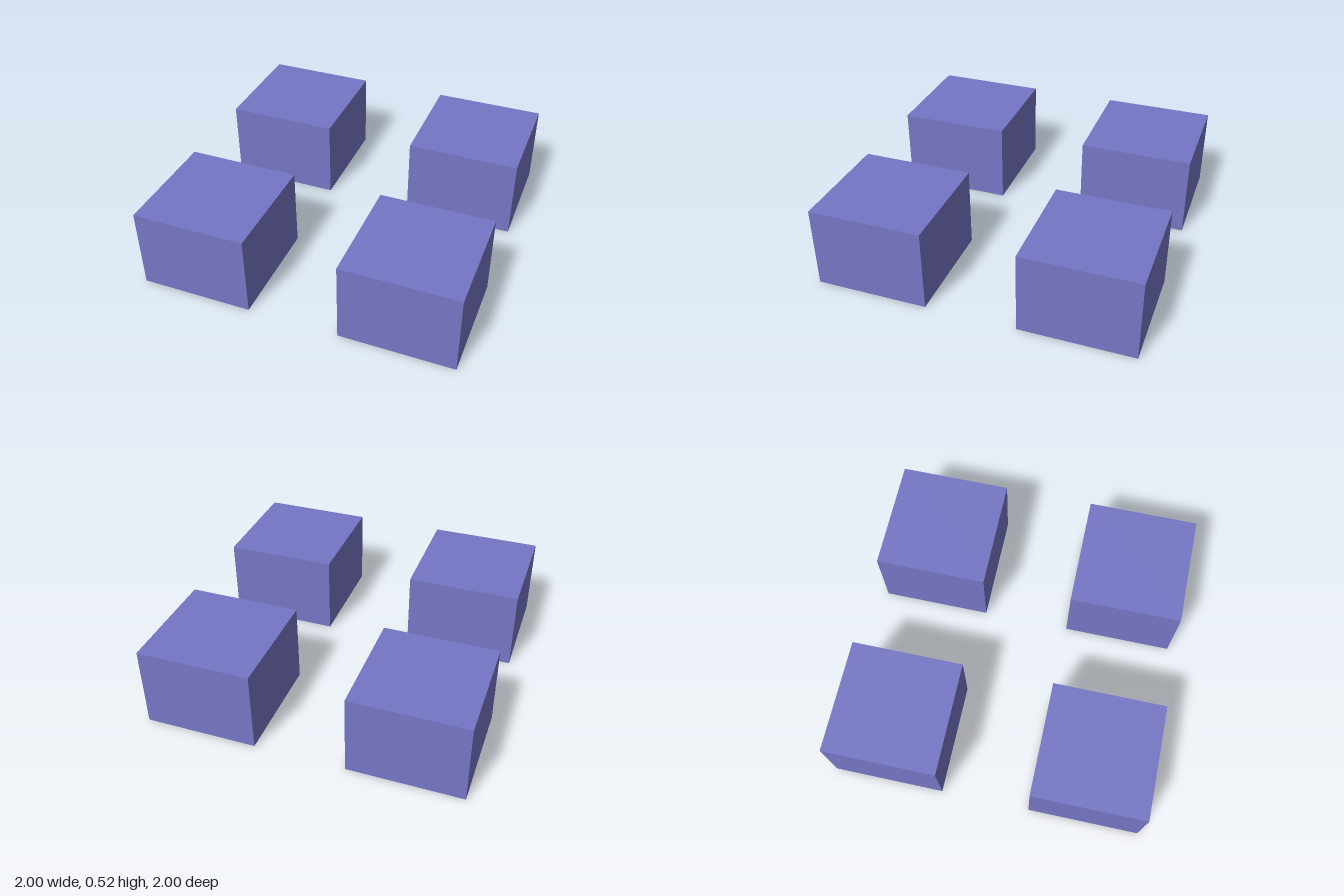
import * as THREE from 'three';

const INNER = 0.287, OUTER = 1, HEIGHT = 0.52;

// Thin-walled box standing on y = 0, open at the bottom
function openBottomBox(width, height, depth) {
  const geometry = new THREE.BoxGeometry(width, height, depth);
  const index = Array.from(geometry.index.array);
  index.splice(18, 6); // drop the underside
  geometry.setIndex(index);
  geometry.clearGroups();
  geometry.translate(0, height / 2, 0);
  return geometry;
}

export function createModel() {
  const model = new THREE.Group();
  model.name = 'fourOpenBoxes';

  const violet = new THREE.MeshStandardMaterial({ color: 0x7676c6, side: THREE.DoubleSide });
  violet.name = 'violet';

  const size = OUTER - INNER;
  const centre = (OUTER + INNER) / 2;
  const geometry = openBottomBox(size, HEIGHT, size);

  // One box in each corner
  for (const [sideName, sx] of [['Left', 1], ['Right', -1]]) {
    for (const [endName, sz] of [['front', 1], ['back', -1]]) {
      const box = new THREE.Mesh(geometry, violet);
      box.name = `${endName}${sideName}Box`;
      box.position.set(sx * centre, 0, sz * centre);
      model.add(box);
    }
  }
  return model;
}
